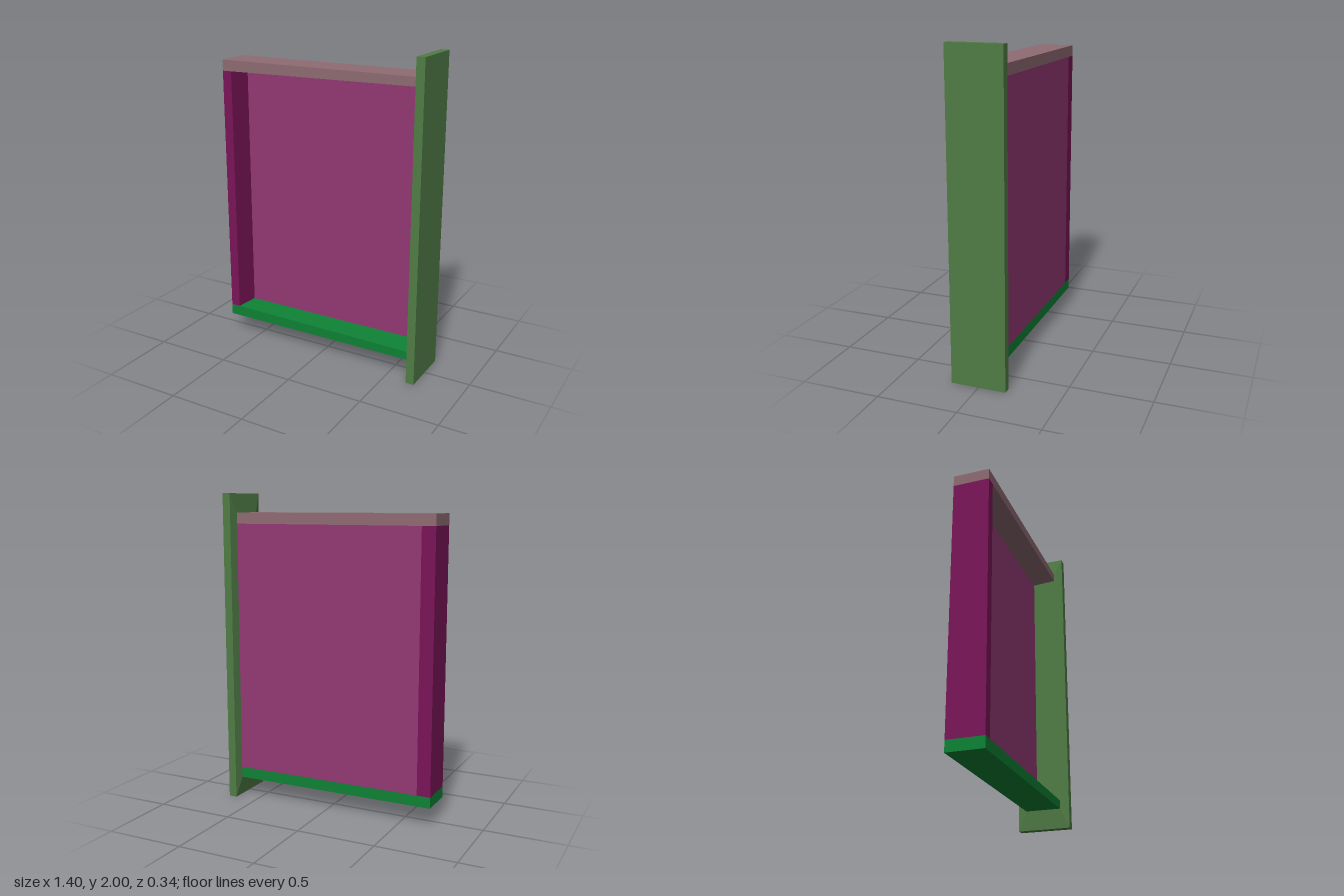
import * as THREE from 'three';

// Box between two corners; an optional rule moves its corner points.
function block(name, color, min, max, rule) {
  const geo = new THREE.BoxGeometry(...max.map((m, i) => m - min[i]));
  geo.translate(...max.map((m, i) => (m + min[i]) / 2));
  if (rule) {
    const pos = geo.attributes.position;
    const v = new THREE.Vector3();
    for (let i = 0; i < pos.count; i++) {
      rule(v.fromBufferAttribute(pos, i));
      pos.setXYZ(i, v.x, v.y, v.z);
    }
    geo.computeVertexNormals();
  }
  const mesh = new THREE.Mesh(geo, new THREE.MeshStandardMaterial({ color }));
  mesh.name = name;
  return mesh;
}

export function createModel() {
  const group = new THREE.Group();
  group.name = 'shallowTray';
  const D = 0.115; // half depth of the tray
  const P = 0.172; // half depth of the end plate

  // Top and bottom rails, thinner at the front corner beside the end plate
  group.add(block('topRail', 0x8f6c73, [-0.7, 1.81, -D], [0.633, 1.88, D], (v) => {
    if (v.x > 0 && v.y < 1.85 && v.z > 0) v.y = 1.825;
  }));
  group.add(block('bottomRail', 0x0e8235, [-0.7, 0.125, -D], [0.633, 0.195, D], (v) => {
    if (v.x > 0 && v.y > 0.15 && v.z > 0) v.y = 0.18;
  }));

  // Side wall, thicker towards the back
  group.add(block('sideWall', 0x7a1558, [-0.7, 0.195, -D], [-0.637, 1.81, D], (v) => {
    if (v.x > -0.65 && v.z < 0) v.x = -0.613;
  }));

  // Recessed back panel
  group.add(block('backPanel', 0x933974, [-0.62, 0.195, -D], [0.633, 1.81, -0.04]));

  // Oversized end plate with a shallow bevel towards the tray
  group.add(block('endPlate', 0x507d46, [0.647, 0, -P], [0.7, 2, P]));
  group.add(block('endPlateBevel', 0x507d46, [0.633, 0, -P], [0.647, 2, P], (v) => {
    if (v.x < 0.64) {
      v.y = v.y > 1 ? 1.875 : 0.125;
      v.z = Math.sign(v.z) * D;
    }
  }));
  return group;
}
